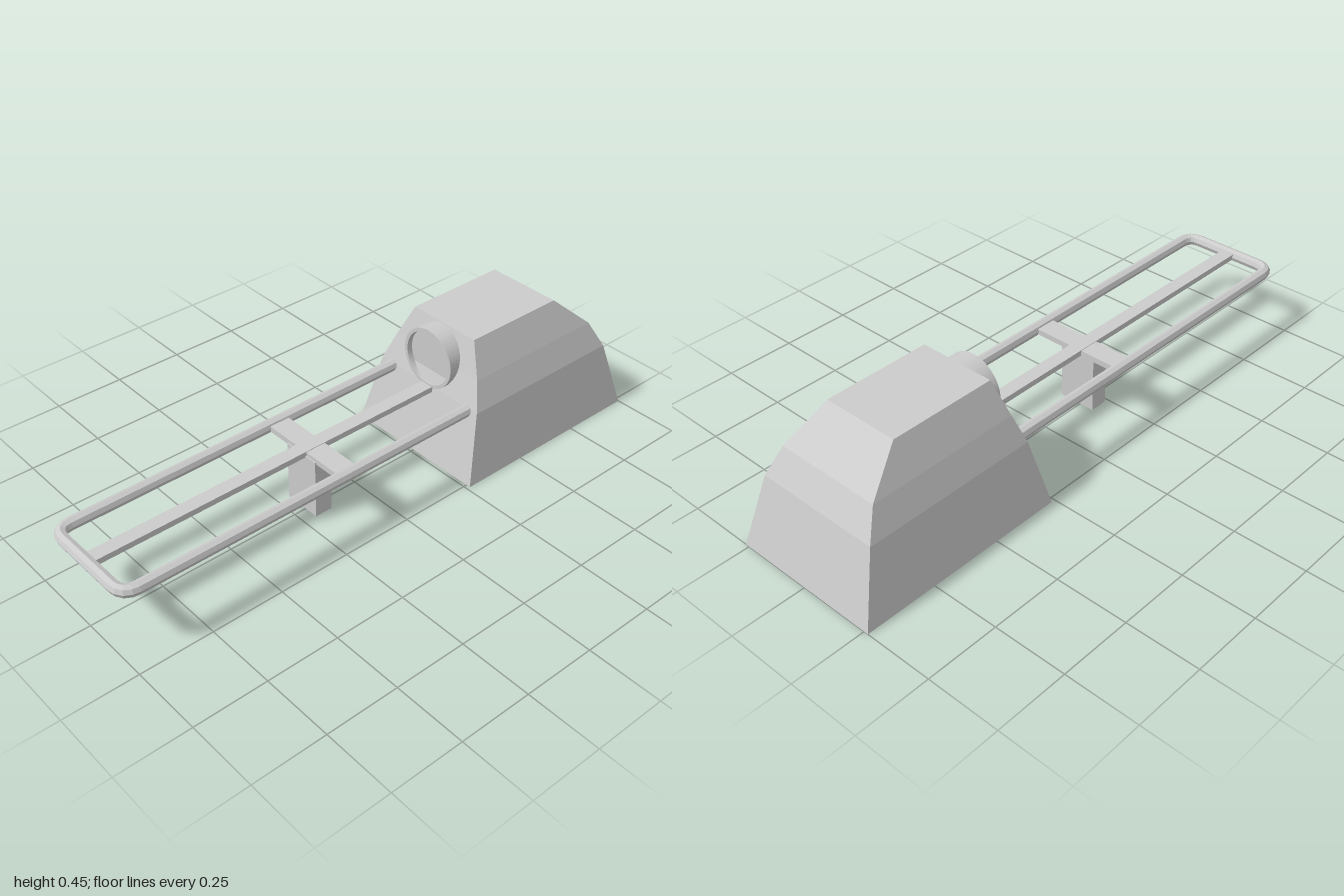
import * as THREE from 'three';

const material = new THREE.MeshStandardMaterial({ color: 0xcccccc, flatShading: true, side: THREE.DoubleSide });

function add(group, name, geometry, x = 0, y = 0, z = 0) {
  const mesh = new THREE.Mesh(geometry, material);
  mesh.name = name;
  mesh.position.set(x, y, z);
  group.add(mesh);
  return mesh;
}

// Rectangular sections [y, halfWidth, frontZ, backZ] joined bottom to top, closed at both ends
function loftRectangles(sections) {
  const positions = [];
  const index = [];
  for (const [y, w, front, back] of sections) {
    positions.push(-w, y, front, w, y, front, w, y, back, -w, y, back);
  }
  for (let s = 0; s < sections.length - 1; s++) {
    for (let i = 0; i < 4; i++) {
      const a = s * 4 + i, b = s * 4 + (i + 1) % 4;
      index.push(a, b, b + 4, a, b + 4, a + 4);
    }
  }
  const t = (sections.length - 1) * 4;
  index.push(0, 2, 1, 0, 3, 2, t, t + 1, t + 2, t, t + 2, t + 3);
  const geometry = new THREE.BufferGeometry();
  geometry.setAttribute('position', new THREE.Float32BufferAttribute(positions, 3));
  geometry.setIndex(index);
  geometry.computeVertexNormals();
  return geometry;
}

// U-shaped rail centreline with rounded front corners
function railPath() {
  const y = 0.231, back = -0.335, front = 0.979, corner = 0.05;
  const left = 0.177, right = -0.172;
  const p = (x, z) => new THREE.Vector3(x, y, z);
  const path = new THREE.CurvePath();
  path.add(new THREE.LineCurve3(p(right, back), p(right, front - corner)));
  path.add(new THREE.QuadraticBezierCurve3(p(right, front - corner), p(right, front), p(right + corner, front)));
  path.add(new THREE.LineCurve3(p(right + corner, front), p(left - corner, front)));
  path.add(new THREE.QuadraticBezierCurve3(p(left - corner, front), p(left, front), p(left, front - corner)));
  path.add(new THREE.LineCurve3(p(left, front - corner), p(left, back)));
  return path;
}

export function createModel() {
  const model = new THREE.Group();
  model.name = 'railAndHousing';

  // Faceted housing
  add(model, 'housing', loftRectangles([
    [0, 0.265, -0.263, -1],
    [0.24, 0.222, -0.32, -0.93],
    [0.335, 0.187, -0.35, -0.88],
    [0.45, 0.135, -0.38, -0.75],
  ]));

  // Round rim on the front of the housing, with a recessed disc
  const rim = new THREE.Shape().absarc(0, 0, 0.106, 0, Math.PI * 2);
  rim.holes.push(new THREE.Path().absarc(0, 0, 0.094, 0, Math.PI * 2, true));
  add(model, 'portRim', new THREE.ExtrudeGeometry(rim, { depth: 0.067, bevelEnabled: false, curveSegments: 32 }), -0.004, 0.341, -0.382);
  add(model, 'portDisc', new THREE.CircleGeometry(0.096, 32), -0.004, 0.341, -0.335);

  // Rail loop with its centre and cross bars
  add(model, 'rail', new THREE.TubeGeometry(railPath(), 160, 0.0205, 8, false));
  add(model, 'centreBar', new THREE.BoxGeometry(0.048, 0.02, 1.31), -0.003, 0.232, 0.315);
  add(model, 'crossBar', new THREE.BoxGeometry(0.34, 0.02, 0.073), 0.002, 0.23, 0.177);

  // Support post
  add(model, 'supportPost', new THREE.BoxGeometry(0.134, 0.21, 0.063), 0, 0.122, 0.186);

  return model;
}
